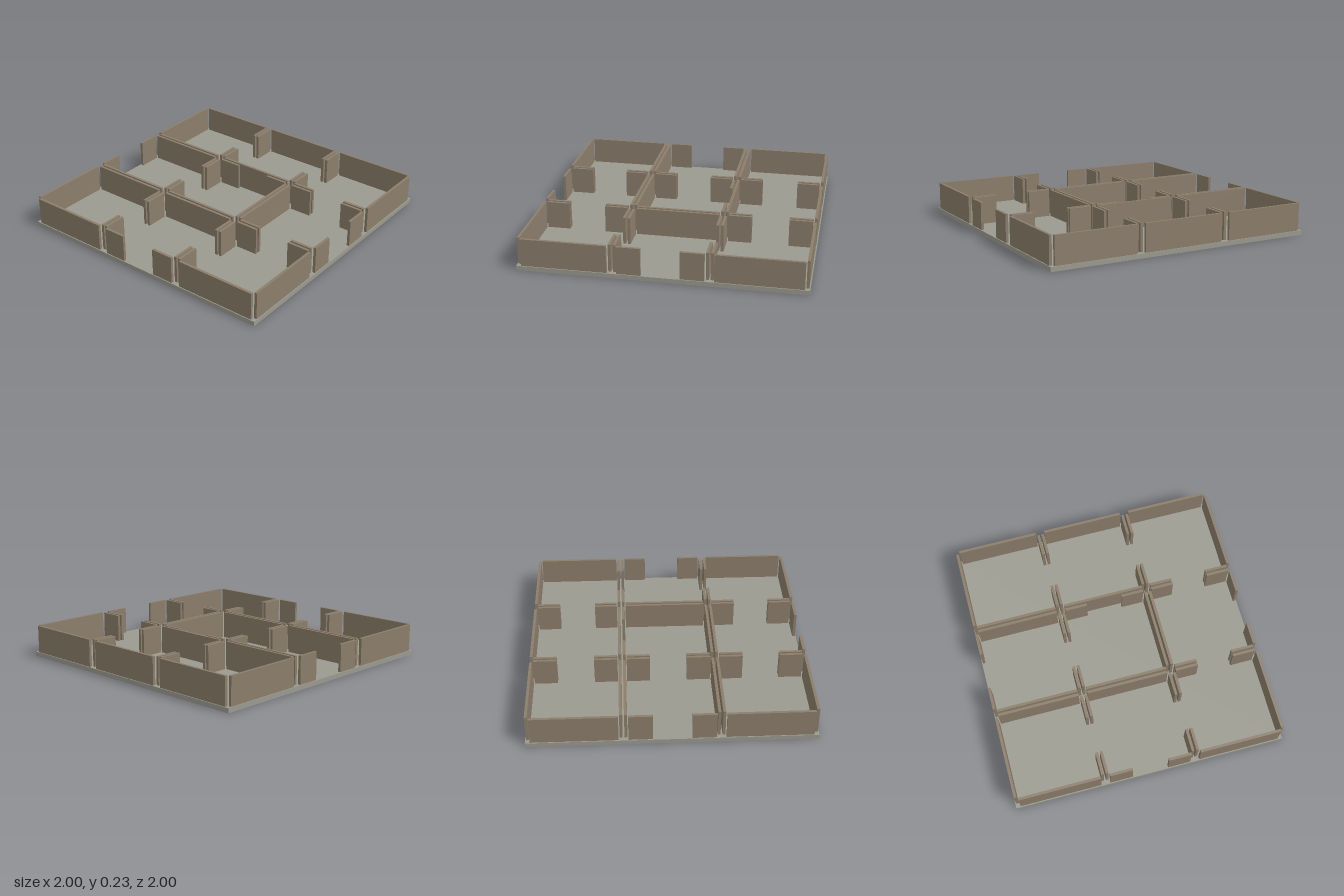
import * as THREE from 'three';

const U = 1 / 30;          // design unit: each room is 20 x 20 units
const BASE_H = 1 * U, WALL_H = 6 * U, WALL_T = 0.6 * U, INSET = 0.5 * U;
const HALF_CELL = 10 * U, WALL_HALF = 9 * U, DOOR_HALF = 4 * U;

export function createModel() {
  const stone = new THREE.MeshStandardMaterial({ color: 0x9b9a90 });
  stone.name = 'floorStone';
  const clay = new THREE.MeshStandardMaterial({ color: 0x8b7d6b });
  clay.name = 'wallClay';

  const model = new THREE.Group();
  model.name = 'roomGrid';

  // Floor slab
  const floor = new THREE.Mesh(new THREE.BoxGeometry(2, BASE_H, 2), stone);
  floor.name = 'floor';
  floor.position.y = BASE_H / 2;
  model.add(floor);

  // One wall segment along local x, from a to b, near the room's far edge
  function addSegment(side, a, b, name) {
    const wall = new THREE.Mesh(new THREE.BoxGeometry(b - a, WALL_H, WALL_T), clay);
    wall.name = name;
    wall.position.set((a + b) / 2, BASE_H + WALL_H / 2, -HALF_CELL + INSET);
    side.add(wall);
  }

  // Room sides in order back, left, front, right: S = solid wall, D = doorway
  const rooms = [
    ['SSDS', 'DSDS', 'SSDS'],
    ['DSDD', 'DDSS', 'DSDS'],
    ['DDSS', 'SDDD', 'DSSD'],
  ];
  const sideNames = ['back', 'right', 'front', 'left'];
  // Each letter string runs back, +x, front, -x
  rooms.forEach((row, iz) => row.forEach((sides, ix) => {
    const room = new THREE.Group();
    room.name = `room${iz * 3 + ix + 1}`;
    room.position.set((ix - 1) * 2 * HALF_CELL, 0, (iz - 1) * 2 * HALF_CELL);
    [...sides].forEach((kind, k) => {
      const side = new THREE.Group();
      side.name = ['back', 'left', 'front', 'right'][k] + 'Side';
      side.rotation.y = -k * Math.PI / 2;
      if (kind === 'S') {
        addSegment(side, -WALL_HALF, WALL_HALF, 'solidWall');
      } else {
        addSegment(side, -WALL_HALF, -DOOR_HALF, 'doorwayWall');
        addSegment(side, DOOR_HALF, WALL_HALF, 'doorwayWall');
      }
      room.add(side);
    });
    model.add(room);
  }));

  return model;
}
